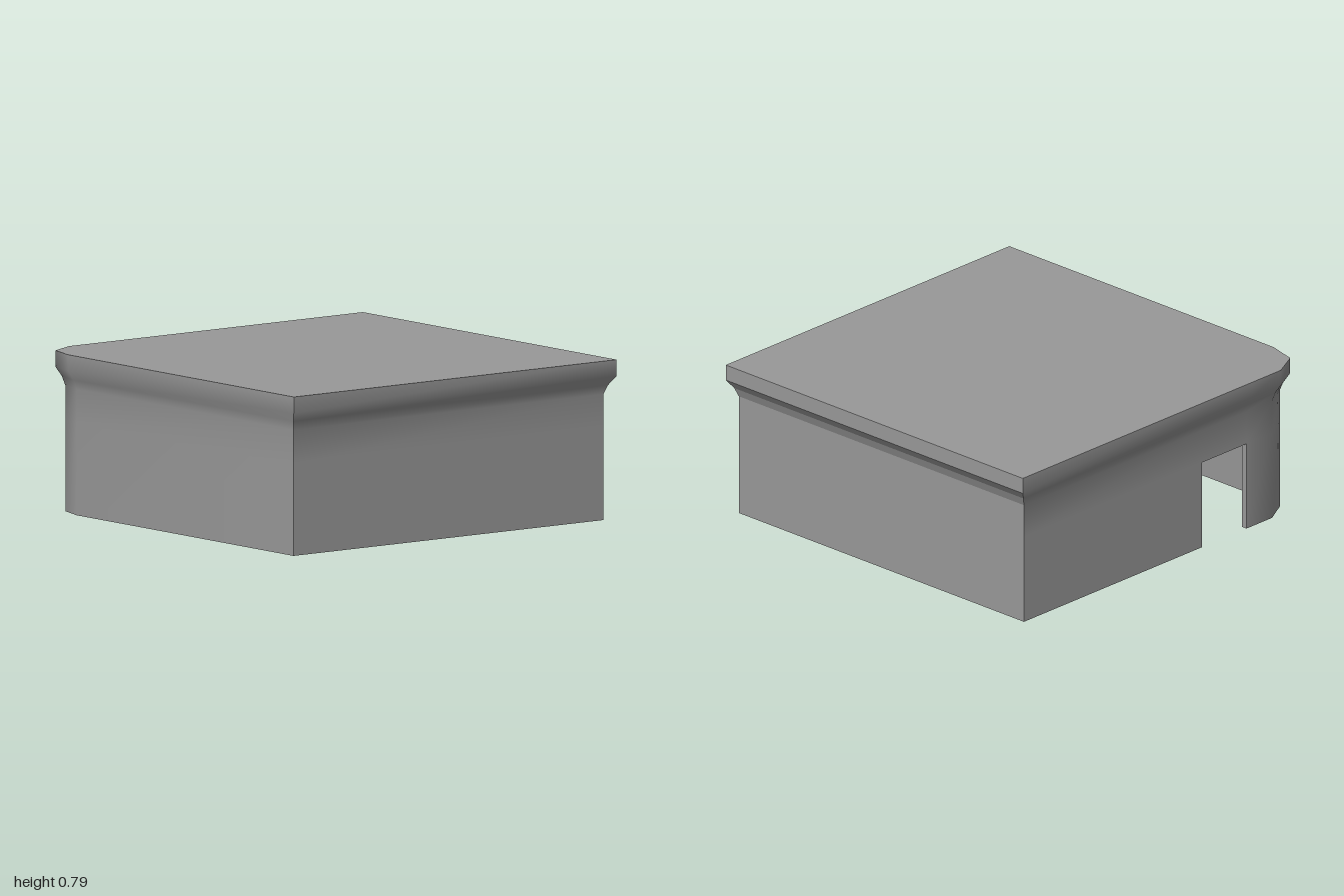
import * as THREE from 'three';
import { toCreasedNormals } from 'three/addons/utils/BufferGeometryUtils.js';

// Footprints [x, z], starting at the back corner and running round one rounded corner.
// Points 1 and 2 are the jambs of the notch.
const rim = [[-1, -1], [-1, 0.305], [-1, 0.62], [-1, 0.82], [-0.93, 0.96], [-0.78, 1], [1, 1], [1, -1]];
const wall = [[-0.96, -0.95], [-0.96, 0.305], [-0.96, 0.62], [-0.96, 0.8], [-0.89, 0.93], [-0.75, 0.97], [0.96, 0.97], [0.96, -0.95]];
const inner = [[-0.93, -0.92], [-0.93, 0.305], [-0.93, 0.62], [-0.93, 0.79], [-0.87, 0.905], [-0.74, 0.94], [0.93, 0.94], [0.93, -0.92]];
const flare = wall.map(([x, z], i) => [x + (rim[i][0] - x) * 0.35, z + (rim[i][1] - z) * 0.35]);
const ceilingEdge = inner.map(([x, z]) => [x * 0.935, z * 0.935]);

const notchHeight = 0.45;
const notchSide = 1;
const ceilingHeight = 0.655;

// Section from the ceiling edge, down the inside, under the wall and up to the rim
const section = [
  [ceilingEdge, ceilingHeight], [inner, 0.63], [inner, notchHeight], [inner, 0],
  [wall, 0], [wall, notchHeight], [wall, 0.62], [flare, 0.665], [rim, 0.71], [rim, 0.79],
];
const rings = section.map(([points, y]) => points.map(([x, z]) => [x, y, z]));

function quad(out, a, b, c, d) {
  out.push(...a, ...b, ...c, ...a, ...c, ...d);
}

// Skin of one side of the box, leaving the notch open
function addSide(out, i) {
  const k = (i + 1) % wall.length;
  for (let j = 0; j < rings.length - 1; j++) {
    if (i === notchSide && j >= 2 && j <= 4) continue;
    quad(out, rings[j][i], rings[j][k], rings[j + 1][k], rings[j + 1][i]);
  }
}

export function createModel() {
  const group = new THREE.Group();
  const material = new THREE.MeshStandardMaterial({ color: 0x999999 });

  function add(name, geometry) {
    const mesh = new THREE.Mesh(geometry, material);
    mesh.name = name;
    group.add(mesh);
    return mesh;
  }
  function addQuads(name, positions, crease) {
    const geometry = new THREE.BufferGeometry();
    geometry.setAttribute('position', new THREE.Float32BufferAttribute(positions, 3));
    geometry.computeVertexNormals();
    add(name, toCreasedNormals(geometry, crease));
  }

  // Side and front walls with the smoothly flared rim
  const sides = [];
  for (let i = 0; i < wall.length - 1; i++) addSide(sides, i);
  addQuads('sideWalls', sides, 1.05);

  // Back wall, with sharper edges on its flare
  const back = [];
  addSide(back, wall.length - 1);
  addQuads('backWall', back, 0.2);

  // Jambs and underside of the notch
  const [IN_TOP, IN_LOW, OUT_LOW, OUT_TOP] = [2, 3, 4, 5];
  const [a, b] = [notchSide, notchSide + 1];
  const frame = [];
  quad(frame, rings[OUT_LOW][a], rings[IN_LOW][a], rings[IN_TOP][a], rings[OUT_TOP][a]);
  quad(frame, rings[IN_LOW][b], rings[OUT_LOW][b], rings[OUT_TOP][b], rings[IN_TOP][b]);
  quad(frame, rings[IN_TOP][a], rings[IN_TOP][b], rings[OUT_TOP][b], rings[OUT_TOP][a]);
  addQuads('notchFrame', frame, 0.2);

  // Flat top, and the ceiling of the hollow beneath it
  const topShape = new THREE.Shape(rim.map(([x, z]) => new THREE.Vector2(x, -z)));
  add('top', new THREE.ShapeGeometry(topShape).rotateX(-Math.PI / 2)).position.y = 0.79;
  const ceilingShape = new THREE.Shape(ceilingEdge.map(([x, z]) => new THREE.Vector2(x, z)));
  add('ceiling', new THREE.ShapeGeometry(ceilingShape).rotateX(Math.PI / 2)).position.y = ceilingHeight;

  return group;
}
